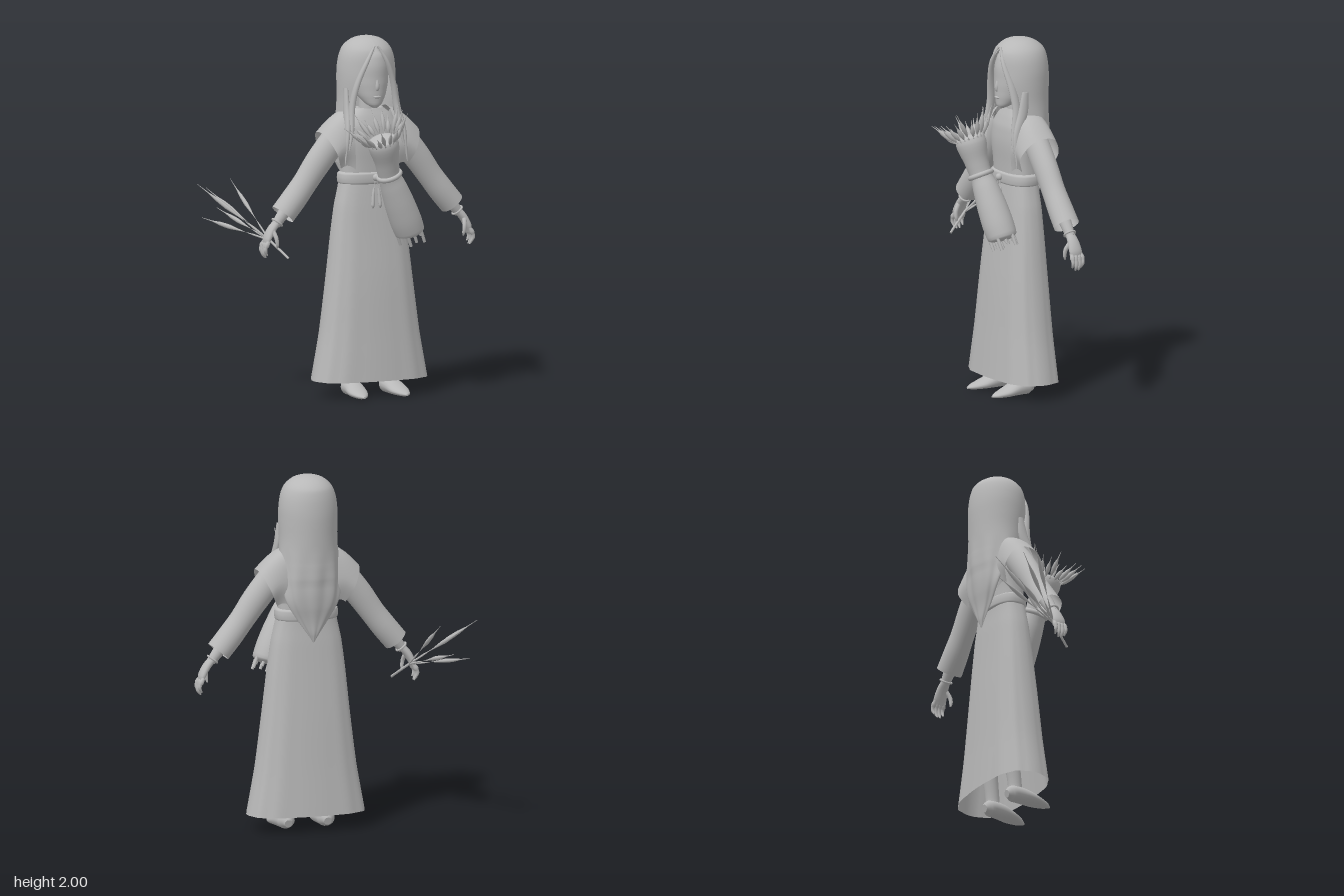
import * as THREE from 'three';

const C = 0.115; // x of the body's middle plane
const V = (x, y, z) => new THREE.Vector3(x, y, z);
const grey = new THREE.MeshStandardMaterial({ color: 0xb8b8b8, side: THREE.DoubleSide });
grey.name = 'claygrey';

// Skins a list of rings (arrays of Vector3); caps repeat the end rings so edges stay crisp
function skin(rings, { closed = true, capStart = false, capEnd = false } = {}) {
  const n = rings[0].length, pos = [], idx = [];
  const push = (p) => pos.push(p.x, p.y, p.z) / 3 - 1;
  rings.forEach((r) => r.forEach(push));
  for (let i = 0; i < rings.length - 1; i++)
    for (let j = 0; j < (closed ? n : n - 1); j++) {
      const a = i * n + j, b = i * n + (j + 1) % n;
      idx.push(a, a + n, b, a + n, b + n, b);
    }
  const cap = (ring, flip) => {
    const mid = ring.reduce((s, p) => s.add(p), V(0, 0, 0)).divideScalar(n);
    const c = push(mid), first = c + 1;
    ring.forEach(push);
    for (let j = 0; j < n; j++) {
      const a = first + j, b = first + (j + 1) % n;
      idx.push(c, flip ? b : a, flip ? a : b);
    }
  };
  if (capStart) cap(rings[0], false);
  if (capEnd) cap(rings[rings.length - 1], true);
  const g = new THREE.BufferGeometry();
  g.setAttribute('position', new THREE.Float32BufferAttribute(pos, 3));
  g.setIndex(idx);
  g.computeVertexNormals();
  return g;
}

// Smooth sweep through rows [x, y, z, radiusA, radiusB]; radiusA lies along ref
function sweep(rows, { ref = V(0, 0, 1), up = null, n = 16, sub = 4, p = 2, fold = null, caps = true } = {}) {
  const path = new THREE.CatmullRomCurve3(rows.map((r) => V(r[0], r[1], r[2])));
  const rad = new THREE.CatmullRomCurve3(rows.map((r) => V(r[3], r[4] ?? r[3], 0)));
  const steps = (rows.length - 1) * sub, rings = [];
  const sup = (c) => Math.sign(c) * Math.abs(c) ** (2 / p);
  for (let i = 0; i <= steps; i++) {
    const t = i / steps, o = path.getPoint(t), r = rad.getPoint(t);
    const T = up ?? path.getTangent(t);
    const N = ref.clone().addScaledVector(T, -ref.dot(T)).normalize();
    const B = N.clone().cross(T);
    rings.push(Array.from({ length: n }, (_, j) => {
      const a = j / n * Math.PI * 2, k = fold ? 1 + fold(a, t) : 1;
      return o.clone().addScaledVector(N, Math.max(r.x, 0.0005) * k * sup(Math.cos(a)))
        .addScaledVector(B, Math.max(r.y, 0.0005) * k * sup(Math.sin(a)));
    }));
  }
  return skin(rings, { capStart: caps, capEnd: caps });
}
// Horizontal cross-sections stacked upward: [y, halfX, halfZ, centreZ]
const stack = (rows, opt = {}) => sweep(rows.map(([y, hx, hz, cz]) => [C, y, cz, hx, hz]),
  { ref: V(1, 0, 0), up: V(0, 1, 0), n: 40, ...opt });

// A stalk of grain: thin stem, swollen ear, fine awn
function stalk(a, b, stem, thick = 1) {
  const keys = [[0, 0.005], [stem * 0.5, 0.005], [stem, 0.005], [stem + (1 - stem) * 0.25, 0.012],
    [stem + (1 - stem) * 0.5, 0.010], [stem + (1 - stem) * 0.7, 0.003], [1, 0.001]];
  return sweep(keys.map(([t, r]) => {
    const q = a.clone().lerp(b, t);
    return [q.x, q.y, q.z, r * thick];
  }), { n: 6, sub: 2, ref: V(0.3, 0.1, 0.95) });
}

export function createModel() {
  const root = new THREE.Group();
  root.name = 'harvestFigure';
  const add = (name, g) => {
    const m = new THREE.Mesh(g, grey);
    m.name = name;
    root.add(m);
    return m;
  };

  // Dress
  add('skirt', stack([[0.09, 0.335, 0.165, 0.025], [0.35, 0.288, 0.148, 0.024], [0.65, 0.25, 0.13, 0.022],
    [0.9, 0.222, 0.11, 0.018], [1.06, 0.2, 0.098, 0.016], [1.15, 0.18, 0.09, 0.015], [1.22, 0.165, 0.085, 0.012]],
  { n: 72, p: 2.8, caps: false, fold: (a, t) => 0.012 * (1 - t) * Math.cos(a * 12) }));
  add('bodice', stack([[1.18, 0.162, 0.083, 0.012], [1.3, 0.165, 0.09, 0.012], [1.42, 0.18, 0.1, 0.01],
    [1.5, 0.175, 0.095, 0.008], [1.56, 0.135, 0.078, 0.005], [1.6, 0.085, 0.06, 0.005]], { p: 2.5 }));
  add('neck', stack([[1.55, 0.055, 0.052, 0.01], [1.72, 0.048, 0.048, 0.01]]));
  add('belt', stack([[1.18, 0.166, 0.085, 0.013], [1.19, 0.178, 0.097, 0.013], [1.215, 0.181, 0.099, 0.013],
    [1.24, 0.178, 0.097, 0.013], [1.25, 0.164, 0.084, 0.013]], { p: 2.5 }));
  const knot = add('beltKnot', new THREE.SphereGeometry(0.02, 14, 10));
  knot.position.set(C, 1.22, 0.118);
  for (const s of [-1, 1])
    add('beltCord', sweep([[C, 1.22, 0.118, 0.008], [C + s * 0.015, 1.15, 0.118, 0.008],
      [C + s * 0.022, 1.07, 0.122, 0.011], [C + s * 0.022, 1.05, 0.122, 0.004]], { n: 8 }));

  // Head and face
  add('head', stack([[1.61, 0.015, 0.015, 0.105], [1.63, 0.045, 0.045, 0.085], [1.68, 0.082, 0.09, 0.045],
    [1.75, 0.106, 0.117, 0.018], [1.83, 0.112, 0.122, 0.01], [1.9, 0.098, 0.108, 0.005], [1.95, 0.05, 0.05, 0]]));
  add('nose', sweep([[C, 1.78, 0.122, 0.007], [C, 1.735, 0.132, 0.012], [C, 1.715, 0.13, 0.011], [C, 1.705, 0.12, 0.004]],
    { ref: V(1, 0, 0), n: 10 }));
  const mouth = add('mouth', new THREE.SphereGeometry(1, 12, 8));
  mouth.scale.set(0.024, 0.008, 0.01);
  mouth.position.set(C, 1.672, 0.131);

  // Hair rows [y, halfX, halfZ, centreZ, wrap]; wrap 1 meets in front, 0.5 covers the back only
  const hairRows = [[1.07, 0.004, 0.005, -0.115, 0.4], [1.12, 0.035, 0.02, -0.112, 0.45], [1.2, 0.09, 0.035, -0.105, 0.48],
    [1.3, 0.148, 0.06, -0.097, 0.48], [1.4, 0.168, 0.1, -0.064, 0.5], [1.48, 0.17, 0.13, -0.04, 0.6],
    [1.55, 0.168, 0.14, -0.03, 0.7], [1.65, 0.163, 0.15, -0.022, 0.74], [1.75, 0.165, 0.158, -0.017, 0.78],
    [1.83, 0.163, 0.156, -0.017, 0.85], [1.9, 0.15, 0.148, -0.015, 0.93], [1.945, 0.127, 0.128, -0.015, 1],
    [1.98, 0.085, 0.085, -0.013, 1], [1.995, 0.04, 0.04, -0.012, 1], [2.0, 0.002, 0.002, -0.012, 1]];
  const hc = new THREE.CatmullRomCurve3(hairRows.map((r) => V(r[1], r[0], r[3])));
  const hd = new THREE.CatmullRomCurve3(hairRows.map((r) => V(r[2], r[4], 0)));
  const hair = [];
  for (let i = 0; i <= 56; i++) {
    const c = hc.getPoint(i / 56), d = hd.getPoint(i / 56);
    const low = THREE.MathUtils.clamp((1.6 - c.y) / 0.2, 0, 1);
    hair.push(Array.from({ length: 49 }, (_, j) => {
      const a = (j / 24 - 1) * Math.PI * Math.min(d.y, 1);
      const k = 1 + 0.04 * low * Math.cos(a * 9);
      return V(C - c.x * k * Math.sin(-a), c.y, c.z - d.x * k * Math.cos(a));
    }).reverse());
  }
  add('hair', skin(hair, { closed: false }));

  for (const s of [-1, 1]) {
    const X = (o) => C + s * o;
    // Front locks framing the face
    add('frontLock', sweep([[X(0.01), 1.955, 0.115, 0.006], [X(0.06), 1.87, 0.126, 0.014, 0.012],
      [X(0.108), 1.75, 0.105, 0.022, 0.015], [X(0.135), 1.62, 0.09, 0.024, 0.017],
      [X(0.15), 1.48, 0.115, 0.018, 0.014], [X(0.168), 1.38, 0.13, 0.002]], { ref: V(0, 0, 1), n: 12 }));
    add('sideLock', sweep([[X(0.15), 1.72, 0.04, 0.02, 0.012], [X(0.155), 1.6, 0.06, 0.03, 0.016],
      [X(0.17), 1.48, 0.11, 0.02, 0.014], [X(0.19), 1.3, 0.12, 0.002]], { n: 12 }));

    // Vest panel draped from front to back over the shoulder
    const inner = new THREE.CatmullRomCurve3([[0.12, 1.27, 0.112], [0.13, 1.42, 0.122], [0.115, 1.59, 0.055],
      [0.115, 1.59, -0.055], [0.13, 1.42, -0.105], [0.12, 1.27, -0.09]].map((p) => V(X(p[0]), p[1], p[2])));
    const outer = new THREE.CatmullRomCurve3([[0.205, 1.28, 0.095], [0.245, 1.37, 0.13], [0.288, 1.465, 0.06],
      [0.288, 1.465, -0.06], [0.245, 1.37, -0.115], [0.2, 1.28, -0.08]].map((p) => V(X(p[0]), p[1], p[2])));
    const strip = Array.from({ length: 31 }, (_, i) => {
      const a = inner.getPoint(i / 30), b = outer.getPoint(i / 30);
      const row = Array.from({ length: 6 }, (_, j) => a.clone().lerp(b, j / 5)
        .add(V(0, 0.02 * Math.sin(j / 5 * Math.PI), 0)));
      return s > 0 ? row.reverse() : row;
    });
    add('vestPanel', skin(strip, { closed: false }));

    // Sleeve, forearm, bracelet
    add('sleeve', sweep([[X(0.13), 1.5, 0, 0.07, 0.07], [X(0.2), 1.43, 0, 0.068, 0.078], [X(0.3), 1.31, 0, 0.066, 0.076],
      [X(0.38), 1.2, 0, 0.064, 0.07], [X(0.45), 1.11, 0, 0.07, 0.071], [X(0.517), 1.03, 0, 0.073, 0.07]],
    { n: 24, caps: false }));
    add('forearm', sweep([[X(0.38), 1.2, 0, 0.042], [X(0.5), 1.05, 0, 0.035], [X(0.56), 0.975, 0, 0.026]], { n: 14 }));
    const band = add('bracelet', new THREE.TorusGeometry(0.032, 0.006, 8, 20));
    band.position.set(X(0.55), 0.988, 0);
    band.lookAt(X(0.61), 0.913, 0);

    // Hand
    add('palm', sweep([[X(0.545), 0.995, 0, 0.024, 0.022], [X(0.585), 0.95, 0, 0.034, 0.022],
      [X(0.612), 0.9, 0, 0.04, 0.019], [X(0.62), 0.87, 0, 0.032, 0.012]], { n: 14 }));
    for (let f = 0; f < 4; f++) {
      const z = -0.03 + f * 0.019, e = (f === 0 || f === 3) ? 0.015 : 0;
      add('finger', sweep([[X(0.612), 0.89, z, 0.011], [X(0.632), 0.855, z * 1.1, 0.011],
        [X(0.635), 0.82 + e, z * 1.1, 0.01], [X(0.622), 0.795 + e, z, 0.004]], { n: 8 }));
    }
    add('thumb', sweep([[X(0.585), 0.945, 0.02, 0.014], [X(0.575), 0.905, 0.043, 0.012],
      [X(0.57), 0.87, 0.045, 0.01], [X(0.567), 0.85, 0.04, 0.004]], { n: 8 }));

    // Leg and pointed shoe
    add('leg', sweep([[X(0.115), 0.03, 0.03, 0.045, 0.042], [X(0.115), 0.1, 0.028, 0.04, 0.038],
      [X(0.113), 0.3, 0.005, 0.048, 0.046], [X(0.11), 0.7, 0.01, 0.06, 0.058]], { n: 16 }));
    add('shoe', sweep([[X(0.115), 0.035, -0.025, 0.022, 0.022], [X(0.116), 0.045, 0.01, 0.05, 0.045],
      [X(0.119), 0.042, 0.08, 0.056, 0.042], [X(0.126), 0.027, 0.15, 0.056, 0.027],
      [X(0.13), 0.016, 0.215, 0.032, 0.015], [X(0.13), 0.012, 0.245, 0.006, 0.005]], { ref: V(1, 0, 0), n: 18 }));
  }

  // Tied sheaf held across the body
  add('sheaf', sweep([[0.288, 0.9, 0.197, 0.045], [0.281, 0.92, 0.2, 0.083], [0.25, 0.99, 0.21, 0.088],
    [0.21, 1.08, 0.222, 0.084], [0.165, 1.18, 0.236, 0.073], [0.133, 1.25, 0.248, 0.062], [0.11, 1.33, 0.265, 0.068],
    [0.085, 1.42, 0.28, 0.086], [0.075, 1.455, 0.285, 0.08], [0.07, 1.47, 0.288, 0.04]], { n: 28 }));
  const axis = V(-0.37, 0.91, 0.17).normalize();
  const tie = add('sheafTie', new THREE.TorusGeometry(0.062, 0.014, 12, 32));
  tie.position.set(0.133, 1.25, 0.248);
  tie.lookAt(tie.position.clone().add(axis));
  const eU = V(0, 0, 1).addScaledVector(axis, -axis.z).normalize(), eV = eU.clone().cross(axis);
  const around = (o, a, r, h) => o.clone().addScaledVector(eU, Math.cos(a) * r)
    .addScaledVector(eV, Math.sin(a) * r).addScaledVector(axis, h);
  const top = V(0.08, 1.44, 0.283), bottom = V(0.282, 0.92, 0.2);
  for (let i = 0; i < 20; i++) {
    const a = i / 20 * Math.PI * 2, w = Math.sin(i * 2.3);
    add('grainEar', stalk(around(top, a, 0.07, -0.01), around(top, a + 0.06 * w, 0.165 + 0.02 * w, 0.125 + 0.03 * w), 0.22, 1.1));
  }
  for (let i = 0; i < 10; i++) {
    const a = i / 10 * Math.PI * 2, r = i % 2 ? 0.072 : 0.05;
    const p = around(bottom, a, r, 0.02), q = around(bottom, a, r, -0.055 - 0.015 * Math.sin(i * 3));
    add('cutStem', sweep([[p.x, p.y, p.z, 0.01], [q.x, q.y, q.z, 0.009]], { n: 8, sub: 1 }));
  }

  // Loose stalks in the right hand
  const butt = V(-0.415, 0.8, 0.105);
  for (const e of [[-0.77, 1.18, -0.33], [-0.71, 0.98, -0.4], [-0.59, 1.02, -0.455],
    [-0.52, 1.18, -0.43], [-0.7, 1.15, -0.36]]) {
    const hold = V(-0.475, 0.89, -0.02), end = V(...e);
    add('looseStem', sweep([[butt.x, butt.y, butt.z, 0.007], [hold.x, hold.y, hold.z, 0.007]], { n: 6, sub: 2 }));
    add('looseStalk', stalk(hold, end, 0.45, 1.05));
  }
  return root;
}
